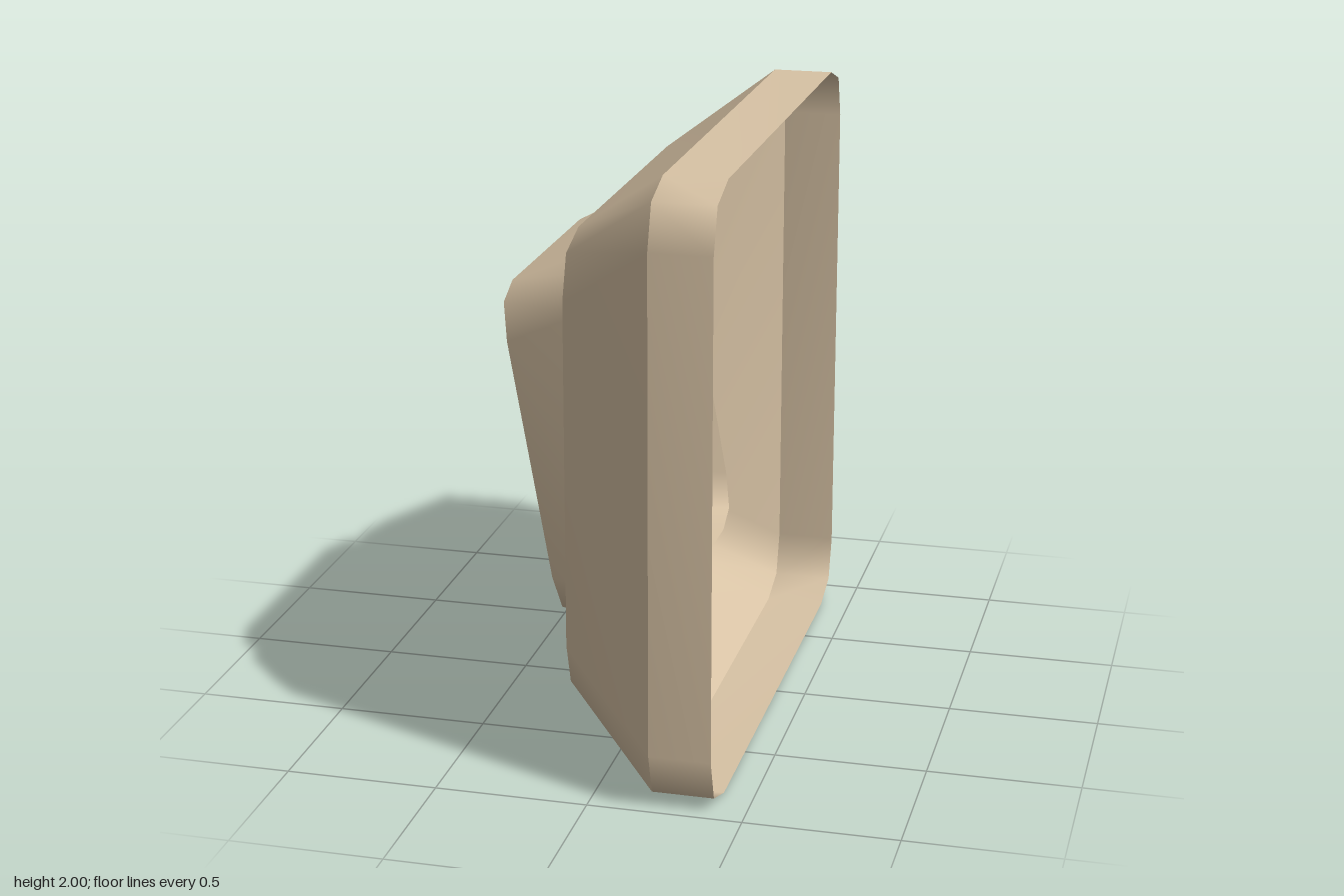
import * as THREE from 'three';

// Rounded square ring in the plane at x; each corner has three points.
function ring(x, half, corner) {
  const pts = [];
  const flat = half - corner, mid = half - corner / 4;
  for (let q = 0; q < 4; q++) {
    const c = Math.round(Math.cos(q * Math.PI / 2)), s = Math.round(Math.sin(q * Math.PI / 2));
    for (const [z, y] of [[half, flat], [mid, mid], [flat, half]]) {
      pts.push(new THREE.Vector3(x, z * s + y * c, z * c - y * s));
    }
  }
  return pts;
}

function geometryFrom(points, index) {
  const g = new THREE.BufferGeometry().setFromPoints(points);
  g.setIndex(index);
  g.computeVertexNormals();
  return g;
}

// Wall between two rings, smooth around the corners.
function band(a, b) {
  const n = a.length, index = [];
  for (let i = 0; i < n; i++) {
    const j = (i + 1) % n;
    index.push(i, j, n + j, i, n + j, n + i);
  }
  return geometryFrom([...a, ...b], index);
}

// Flat panel filling a ring, facing -x.
function cap(a) {
  const index = [];
  for (let i = 1; i < a.length - 1; i++) index.push(0, i, i + 1);
  return geometryFrom(a, index);
}

export function createModel() {
  const model = new THREE.Group();
  model.name = 'hollowKey';
  const tan = new THREE.MeshStandardMaterial({ color: 0xd8c3a5, side: THREE.DoubleSide });
  tan.name = 'tan';
  const add = (parent, name, geometry) => {
    const mesh = new THREE.Mesh(geometry, tan);
    mesh.name = name;
    parent.add(mesh);
  };

  // Open housing: straight rim, sloping sides and a flat panel
  const housing = new THREE.Group();
  housing.name = 'housing';
  housing.position.y = 1;
  const open = ring(0.4, 1, 0.19), shoulder = ring(0.2, 1, 0.19), face = ring(-0.13, 0.76, 0.19);
  add(housing, 'rim', band(open, shoulder));
  add(housing, 'slopingSides', band(shoulder, face));
  add(housing, 'flatPanel', cap(face));
  model.add(housing);

  // Tilted button, open at its base, passing through the flat panel
  const button = new THREE.Group();
  button.name = 'button';
  button.position.set(-0.012, 1.024, 0);
  button.rotation.z = THREE.MathUtils.degToRad(10);
  const base = ring(0, 0.645, 0.16), top = ring(-0.295, 0.56, 0.16);
  add(button, 'buttonSides', band(base, top));
  add(button, 'buttonFace', cap(top));
  model.add(button);

  return model;
}
